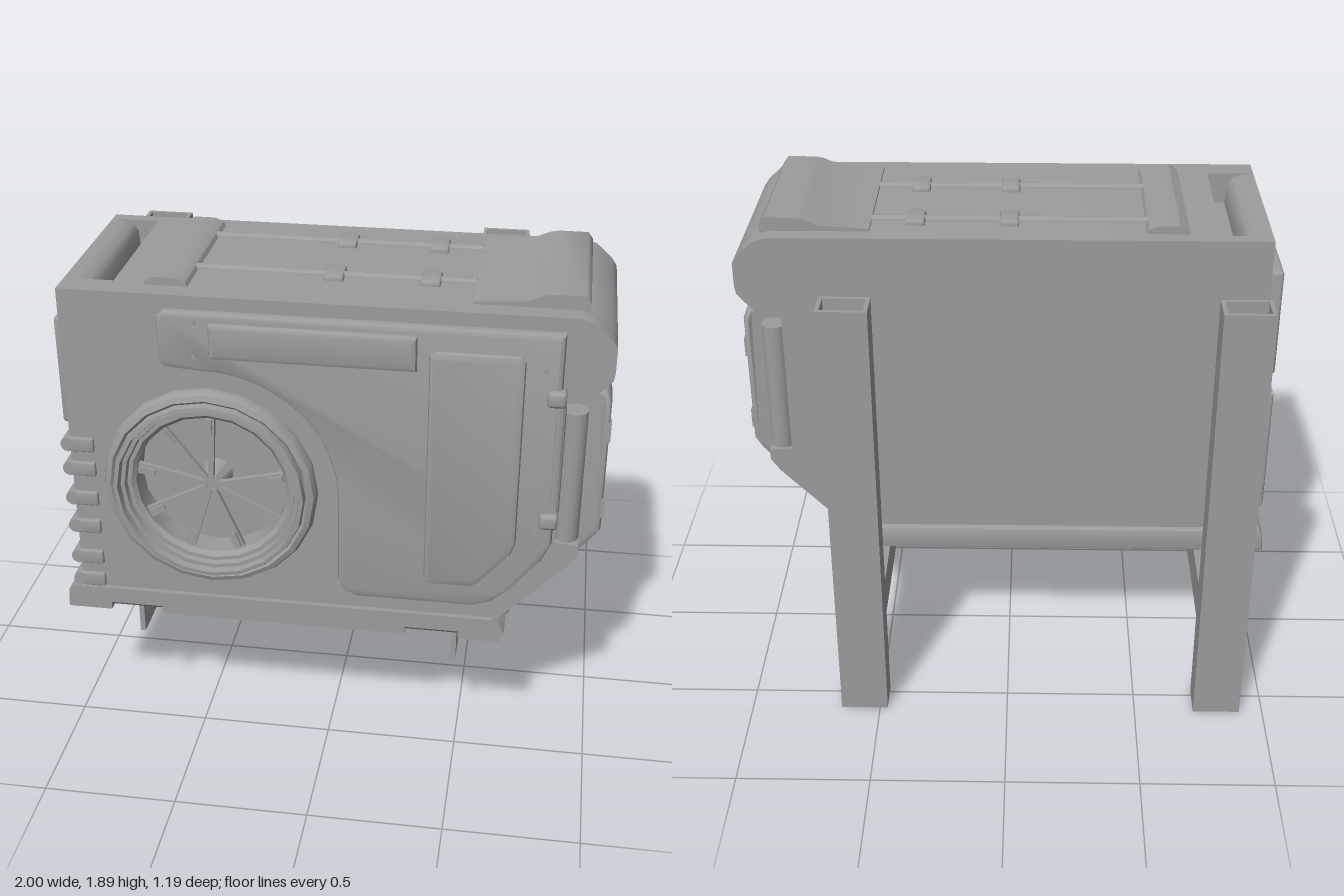
import * as THREE from 'three';
import { toCreasedNormals } from 'three/addons/utils/BufferGeometryUtils.js';
import { RoundedBoxGeometry } from 'three/addons/geometries/RoundedBoxGeometry.js';

const paint = new THREE.MeshStandardMaterial({ color: 0x9c9c9c, side: THREE.DoubleSide });
const FAN = { x: -0.42, y: 1.1 };

export function createModel() {
  const root = new THREE.Group();
  root.name = 'outdoorCoolingUnit';

  const add = (name, geo, parent = root, crease = 0.5) => {
    const m = new THREE.Mesh(toCreasedNormals(geo, crease), paint);
    m.name = name;
    parent.add(m);
    return m;
  };
  const vectors = pts => pts.map(p => new THREE.Vector2(...p));
  const outline = pts => new THREE.Shape(vectors(pts));
  // Extrude an xy outline between two z values, with an optional inset bevel
  const prismZ = (shape, z0, z1, bevel = 0) => new THREE.ExtrudeGeometry(shape, {
    depth: z1 - z0 - 2 * bevel, bevelEnabled: bevel > 0, bevelSize: bevel, bevelThickness: bevel,
    bevelOffset: -bevel, bevelSegments: 2, curveSegments: 20,
  }).translate(0, 0, z0 + bevel);
  // Extrude a (z, y) outline between two x values
  const prismX = (pts, x0, x1) => new THREE.ExtrudeGeometry(outline(pts), { depth: x1 - x0, bevelEnabled: false })
    .rotateY(-Math.PI / 2).translate(x1, 0, 0);
  const box = (name, x0, x1, y0, y1, z0, z1, parent, r = 0) => {
    const s = [x1 - x0, y1 - y0, z1 - z0];
    const g = r ? new RoundedBoxGeometry(...s, 2, r) : new THREE.BoxGeometry(...s);
    return add(name, g.translate((x0 + x1) / 2, (y0 + y1) / 2, (z0 + z1) / 2), parent);
  };
  const rod = (name, axis, r, len, x, y, z, sides = 12, parent = root) => {
    const g = new THREE.CylinderGeometry(r, r, len, sides);
    if (axis === 'x') g.rotateZ(Math.PI / 2);
    if (axis === 'z') g.rotateX(Math.PI / 2);
    return add(name, g.translate(x, y, z), parent);
  };

  // Casing: three slices, the middle one with a top slot, the front one with the fan opening
  const right = [[0.62, 0.6], [0.88, 0.87], [0.915, 0.92], [0.915, 0.96], [0.83, 0.97], [0.83, 1.53], [0.92, 1.545],
    [0.985, 1.62], [0.99, 1.65], [0.99, 1.74], [0.97, 1.77], [0.91, 1.825], [0.86, 1.84]];
  const slot = [[-0.76, 1.84], [-0.76, 1.72], [-0.835, 1.72], [-0.84, 1.8], [-0.86, 1.825], [-0.9, 1.837]];
  const casing = s => outline([[-0.94, 0.6], ...right, ...s, [-0.94, 1.84]]);
  add('casingBack', prismZ(casing([]), -0.23, -0.18), root, 1);
  add('casingMiddle', prismZ(casing(slot), -0.18, 0.43), root, 1);
  const front = casing([]);
  front.holes.push(new THREE.Path().absarc(FAN.x, FAN.y, 0.31, 0, Math.PI * 2));
  add('casingFront', prismZ(front, 0.43, 0.53), root, 1);

  // Base tray with two sloping notches along its front edge
  const baseTop = [[0.67, 0.57], [0.65, 0.605], [0.62, 0.625], [-0.98, 0.625], [-0.995, 0.605], [-1, 0.53]];
  add('baseTray', prismZ(outline([[0.66, 0.53], ...baseTop]), -0.255, 0.51, 0.012));
  const notches = [-0.83, 0.3].flatMap(x => [[x, 0.53], [x, 0.562], [x + 0.2, 0.562], [x + 0.2, 0.53]]);
  add('baseFrontEdge', prismZ(outline([...notches, [0.66, 0.53], ...baseTop]), 0.49, 0.55));
  for (const x of [-0.83, 0.3])
    add('notchSlope', prismX([[0.48, 0.53], [0.48, 0.565], [0.549, 0.565], [0.512, 0.53]], x, x + 0.2));

  // Raised front panel curving round the fan
  const panel = new THREE.Shape();
  panel.moveTo(0.05, FAN.y);
  panel.absarc(FAN.x, FAN.y, 0.47, 0, Math.PI / 2);
  [[-0.56, 1.58], [-0.58, 1.6], [-0.58, 1.77], [-0.56, 1.79], [0.82, 1.79], [0.82, 0.98], [0.785, 0.9], [0.67, 0.76],
    [0.62, 0.715], [0.55, 0.69], [0.12, 0.69], [0.07, 0.71], [0.05, 0.76]].forEach(p => panel.lineTo(...p));
  add('frontPanel', prismZ(panel, 0.5, 0.568, 0.018));
  const vent = [[-0.395, 1.63], [0.325, 1.63], [0.325, 1.76], [-0.395, 1.76]];
  add('ventPlate', prismZ(outline(vent), 0.54, 0.59, 0.016));
  const door = [[0.38, 0.78], [0.54, 0.78], [0.57, 0.8], [0.68, 0.93], [0.695, 0.98], [0.695, 1.69],
    [0.675, 1.71], [0.385, 1.71], [0.365, 1.69], [0.365, 0.8]];
  add('serviceDoor', prismZ(outline(door), 0.53, 0.585, 0.022));
  for (const [x, y] of [[-0.45, 1.76], [-0.45, 1.63], [0.76, 1.66], [0.76, 1.03]])
    rod('screw', 'z', 0.01, 0.02, x, y, 0.565, 8);
  for (const y of [1.56, 1.08]) box('panelHinge', 0.77, 0.835, y - 0.03, y + 0.03, 0.52, 0.59, root, 0.015);
  rod('hingePin', 'y', 0.022, 0.42, 0.815, 1.32, 0.545);

  // Fan: stepped ring, hub and nine spokes
  const fan = new THREE.Group();
  fan.name = 'fan';
  fan.position.set(FAN.x, FAN.y, 0);
  root.add(fan);
  const ring = [[0.395, 0.52], [0.395, 0.55], [0.385, 0.572], [0.365, 0.58], [0.355, 0.57], [0.35, 0.595], [0.335, 0.597],
    [0.33, 0.57], [0.315, 0.57], [0.31, 0.55], [0.295, 0.55], [0.28, 0.535], [0.28, 0.44]];
  add('fanRing', new THREE.LatheGeometry(vectors(ring), 20).rotateX(Math.PI / 2), fan);
  add('fanHub', new THREE.CylinderGeometry(0.03, 0.06, 0.09, 16).rotateX(Math.PI / 2).translate(0, 0, 0.475), fan);
  for (let i = 0; i < 9; i++) {
    const arm = new THREE.Group();
    arm.name = 'fanSpoke';
    arm.rotation.z = i * Math.PI * 2 / 9;
    fan.add(arm);
    add('spokeBar', prismZ(outline([[-0.008, 0.02], [0.008, 0.02], [0.022, 0.285], [-0.022, 0.285]]), 0.505, 0.525), arm);
    box('spokeTip', -0.011, 0.011, 0.21, 0.27, 0.52, 0.535, arm);
  }

  // Roof: strap plate, end plate, twin rods and clips
  add('roofStrap', prismZ(outline([[-0.645, 1.83], [-0.485, 1.83], [-0.5, 1.855], [-0.53, 1.87], [-0.61, 1.87], [-0.645, 1.85]]), -0.17, 0.45));
  add('roofEndPlate', prismZ(outline([[0.5, 1.83], [0.893, 1.82], [0.893, 1.865], [0.875, 1.89], [0.77, 1.89], [0.74, 1.885], [0.68, 1.86], [0.5, 1.85]]), -0.165, 0.455), root, 1);
  for (const z of [-0.055, 0.27]) {
    rod('roofRod', 'x', 0.018, 1, 0, 1.84, z);
    for (const x of [0, 0.34]) box('rodClip', x - 0.035, x + 0.035, 1.82, 1.86, z - 0.055, z + 0.055, root, 0.01);
  }

  // Side cover wrapping down the chamfer, narrowed at its top, with clips and corner handles
  const cover = prismZ(outline([[0.675, 0.53], [0.69, 0.57], [0.97, 0.9], [0.995, 0.94], [0.995, 1.46], [0.98, 1.5],
    [0.93, 1.54], [0.8, 1.54], [0.8, 0.9], [0.58, 0.64], [0.58, 0.53]]), -0.115, 0.375, 0.02);
  const p = cover.attributes.position;
  for (let i = 0; i < p.count; i++) {
    const pull = Math.max(0, p.getY(i) - 1.47) * 0.55;
    p.setZ(i, p.getZ(i) - Math.sign(p.getZ(i) - 0.13) * pull);
  }
  add('sideCover', cover);
  for (const y of [1.34, 1.03])
    for (const z of [0.35, -0.085]) box('coverClip', 0.965, 1, y - 0.038, y + 0.038, z - 0.02, z + 0.02);
  for (const z of [0.478, -0.18]) rod('cornerHandle', 'y', 0.046, 0.51, 0.868, 1.225, z, 16);

  // Fin side: upper box, lower box, and six wrapped fins over a row of ribs
  box('upperSideBox', -1, -0.92, 1.26, 1.68, -0.14, 0.42, root, 0.012);
  add('lowerSideBox', prismZ(outline([[-0.93, 0.67], [-0.97, 0.67], [-0.995, 0.71], [-0.995, 1.2], [-0.93, 1.2]]), -0.19, 0.03, 0.01));
  for (const y of [0.655, 0.755, 0.89, 1.01, 1.135, 1.235]) {
    rod('sideFin', 'z', 0.028, 0.53, -0.945, y, 0.28, 12);
    box('finFront', -0.945, -0.85, y - 0.028, y + 0.028, 0.5, 0.545, root, 0.006);
  }
  for (let i = 0; i < 10; i++) box('sideRib', -0.955, -0.93, 0.64, 1.24, 0.06 + i * 0.045, 0.08 + i * 0.045);

  // Two mirrored wall brackets
  const postShape = outline([[-0.09, 0.475], [0.09, 0.475], [0.09, 0.595], [-0.09, 0.595]]);
  postShape.holes.push(new THREE.Path(vectors([[-0.075, 0.49], [-0.075, 0.58], [0.075, 0.58], [0.075, 0.49]])));
  for (const side of [1, -1]) {
    const b = new THREE.Group();
    b.name = 'wallBracket';
    b.position.x = side > 0 ? -0.82 : 0.56;
    root.add(b);
    const span = (a, c) => side > 0 ? [a, c] : [-c, -a];
    add('post', new THREE.ExtrudeGeometry(postShape, { depth: 1.73, bevelEnabled: false }).rotateX(-Math.PI / 2), b);
    box('armFlange', -0.09, 0.09, 0.505, 0.53, -0.475, 0.465, b);
    box('armWeb', ...span(0.07, 0.09), 0.38, 0.52, -0.475, 0.465, b);
    add('braceWeb', prismX([[-0.1, 0.42], [-0.165, 0.485], [-0.55, 0.09], [-0.55, 0.01], [-0.475, 0.05]], ...span(0.045, 0.06)), b);
    add('braceFlange', prismX([[-0.165, 0.485], [-0.178, 0.47], [-0.55, 0.08], [-0.55, 0.105]], ...span(-0.065, 0.05)), b);
    rod('braceBolt', 'x', 0.03, 0.06, side * 0.055, 0.425, -0.155, 6, b);
    for (const z of [0.355, 0.025]) rod('armBolt', 'y', 0.033, 0.03, side * -0.02, 0.495, z, 6, b);
    for (const y of [1.45, 1.13, 0.8]) rod('wallBolt', 'z', 0.034, 0.025, 0, y, -0.467, 6, b);
  }
  return root;
}
